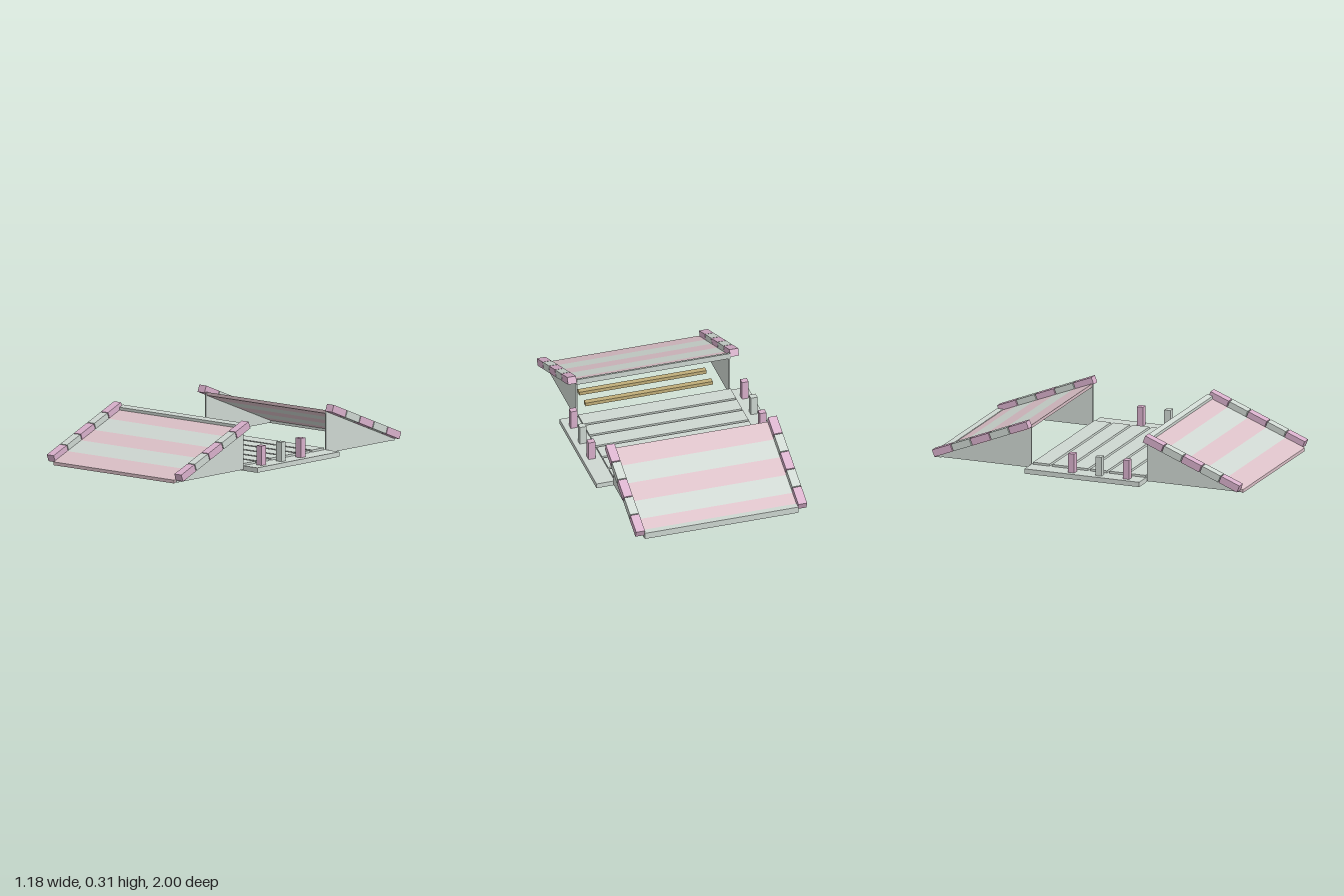
import * as THREE from 'three';

const mat = (name, color) => {
  const m = new THREE.MeshStandardMaterial({ color });
  m.name = name;
  return m;
};

export function createModel() {
  const model = new THREE.Group();
  model.name = 'rampBridge';
  const grey = mat('paleGrey', 0xced7d1);
  const pink = mat('kerbPink', 0xd8b0cb);
  const rose = mat('stripeRose', 0xdbc0c7);
  const tan = mat('battenTan', 0xc0ad78);

  const add = (parent, name, geometry, material) => {
    const mesh = new THREE.Mesh(geometry, material);
    mesh.name = name;
    parent.add(mesh);
    return mesh;
  };
  const box = (parent, name, material, w, h, d, x, y, z) => {
    const mesh = add(parent, name, new THREE.BoxGeometry(w, h, d), material);
    mesh.position.set(x, y, z);
    return mesh;
  };
  // Side profile given as [z, y] points, extruded between x0 and x1
  const prism = (parent, name, material, points, x0, x1) => {
    const shape = new THREE.Shape(points.map(p => new THREE.Vector2(p[0], p[1])));
    const g = new THREE.ExtrudeGeometry(shape, { depth: x1 - x0, bevelEnabled: false });
    g.rotateY(-Math.PI / 2).translate(x1, 0, 0);
    return add(parent, name, g, material);
  };

  // Central deck with raised planks
  const deck = new THREE.Group();
  deck.name = 'deck';
  model.add(deck);
  box(deck, 'deckBase', grey, 1.184, 0.03, 0.745, -0.002, 0.015, -0.002);
  for (let i = 0; i < 6; i++) {
    box(deck, 'plank', grey, 0.96, 0.014, 0.108, -0.005, 0.036, -0.311 + i * 0.1245);
  }

  // Posts along both edges
  for (const x of [-0.542, 0.534]) {
    [[-0.085, pink], [0.093, grey], [0.272, pink]].forEach(([z, m]) =>
      box(deck, 'post', m, 0.042, 0.12, 0.04, x, 0.088, z));
  }

  const SLOPE = 0.395;
  const surfaceY = d => 0.262 - SLOPE * (d - 0.4);

  // side is +1 for the front ramp, -1 for the back; cuts are distances from the middle
  const ramp = (name, side, cuts) => {
    const group = new THREE.Group();
    group.name = name;
    model.add(group);

    // Striped sloping slab
    for (let i = 0; i < cuts.length - 1; i++) {
      const [a, b] = [cuts[i], cuts[i + 1]];
      prism(group, 'rampStripe', i % 2 ? grey : rose, [
        [side * a, surfaceY(a)], [side * b, surfaceY(b)],
        [side * b, surfaceY(b) - 0.02], [side * a, surfaceY(a) - 0.02],
      ], -0.485, 0.48);
    }

    for (const s of [-1, 1]) {
      // Triangular side panel
      const x = s * 0.479;
      prism(group, 'sidePanel', grey, [
        [side * 0.375, 0.008], [side * 0.985, 0.008],
        [side * 0.985, surfaceY(0.985) - 0.01], [side * 0.375, surfaceY(0.375) - 0.01],
      ], x - 0.005, x + 0.005);

      // Kerb blocks in alternating colours
      for (let i = 0; i < 5; i++) {
        const block = box(group, 'kerbBlock', i % 2 ? grey : pink, 0.055, 0.045, 0.127,
          s * 0.51 - 0.002, 0.263 - i * 0.0494, side * (0.438 + i * 0.1235));
        block.rotation.x = side * Math.atan(0.4);
      }
    }
    return group;
  };

  const front = ramp('frontRamp', 1, [0.4, 0.5, 0.63, 0.75, 0.875, 1]);
  const back = ramp('backRamp', -1, [0.38, 0.505, 0.63, 0.755, 0.88, 0.96]);

  // Raised bar at the top of the front ramp
  prism(front, 'topBar', grey,
    [[0.37, 0.291], [0.4, 0.279], [0.4, 0.243], [0.37, 0.255]], -0.485, 0.48);

  // Flat lip at the foot of the back ramp
  box(back, 'footLip', grey, 0.965, 0.04, 0.04, -0.0025, 0.025, -0.98);

  // Battens beneath the front ramp
  for (let i = 0; i < 4; i++) {
    box(front, 'batten', tan, 0.8, 0.022, 0.036, 0, 0.045, 0.47 + i * 0.125);
  }

  return model;
}
